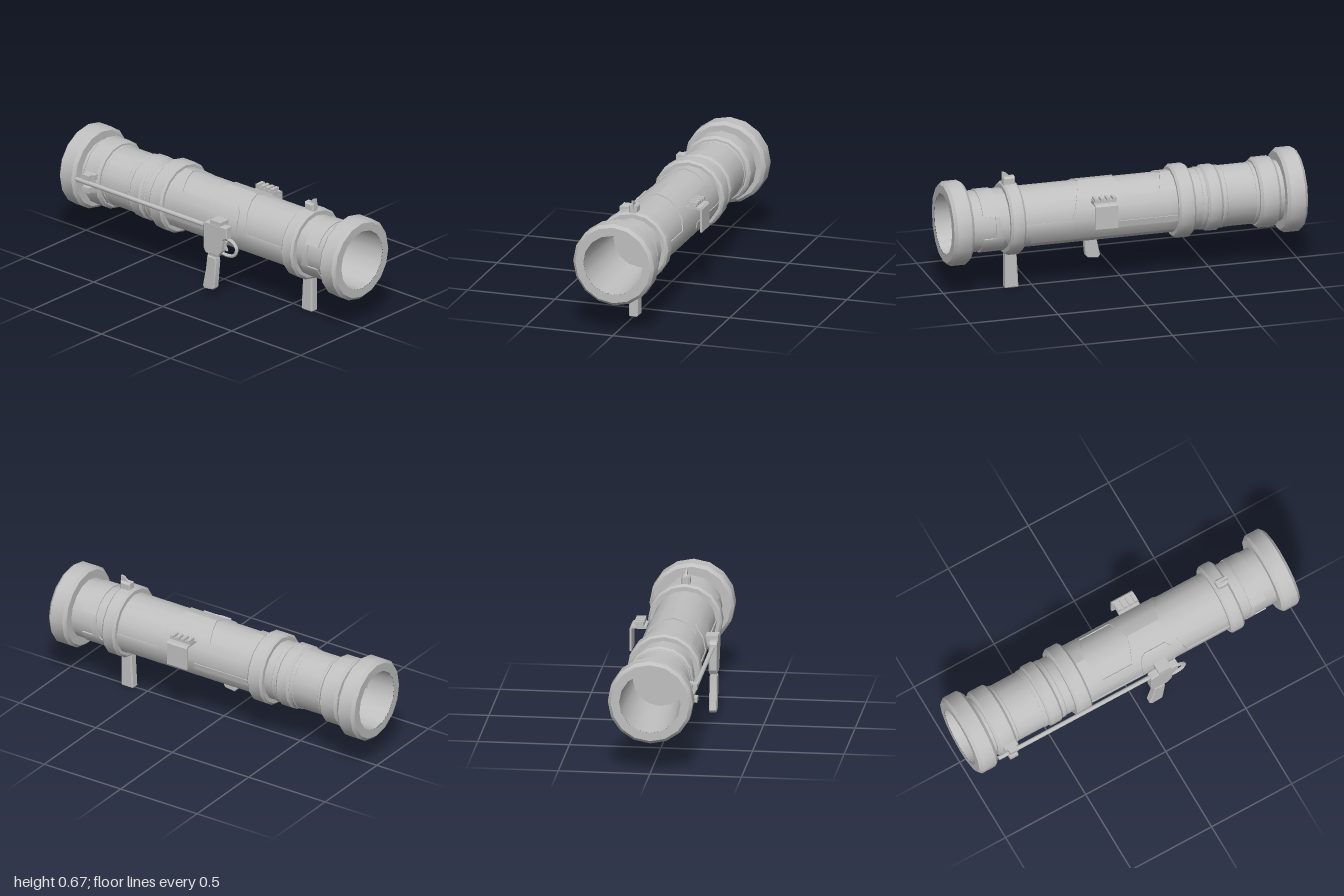
import * as THREE from 'three';
import { toCreasedNormals } from 'three/addons/utils/BufferGeometryUtils.js';

const CY = 0.4;                 // height of the tube axis
const SIDES = 16;
const STEP = 360 / SIDES;
const { degToRad, lerp, clamp, euclideanModulo } = THREE.MathUtils;

export function createModel() {
  const model = new THREE.Group();
  model.name = 'launcherTube';
  const grey = new THREE.MeshStandardMaterial({ color: 0xc0c0c0 });
  grey.name = 'metalGrey';

  function add(name, geo, crease = 0.5) {
    const mesh = new THREE.Mesh(toCreasedNormals(geo, crease), grey);
    mesh.name = name;
    model.add(mesh);
  }

  // Turned part along x; profile is [x, radius] with x running left to right
  function turned(name, profile) {
    const geo = new THREE.LatheGeometry(profile.map(([x, r]) => new THREE.Vector2(r, x)), SIDES);
    geo.rotateZ(-Math.PI / 2).translate(0, CY, 0);
    add(name, geo);
  }

  function ring(name, x0, x1, r, c = 0.012, inner = 0.164) {
    turned(name, [[x0, inner], [x0, r - c], [x0 + c, r], [x1 - c, r], [x1, r - c], [x1, inner]]);
  }

  // Raised plate wrapped on the faceted tube; corners are [x, startAngle, endAngle],
  // with angles in degrees from the top towards the front
  function wrapped(name, corners, r, base = 0.164) {
    // Slanted edges get extra stations so that they follow the facets
    const stations = [corners[0]];
    for (let i = 1; i < corners.length; i++) {
      const p = corners[i - 1], q = corners[i];
      const m = p[1] === q[1] && p[2] === q[2] ? 1 : 12;
      for (let k = 1; k <= m; k++) stations.push(p.map((v, j) => lerp(v, q[j], k / m)));
    }
    // Columns sit on the tube's own facet edges
    const columns = [-1000];
    for (let a = -360; a <= 360; a += STEP) columns.push(a);
    columns.push(1000);
    const n = columns.length - 1, loop = 2 * (n + 1), pos = [], idx = [];
    const point = (x, a, radius) => {
      const t = degToRad(euclideanModulo(a, STEP) - STEP / 2);
      const q = radius * Math.cos(degToRad(STEP / 2)) / Math.cos(t);
      pos.push(x, CY + q * Math.cos(degToRad(a)), q * Math.sin(degToRad(a)));
    };
    for (const [x, a0, a1] of stations) {
      const angles = columns.map((c) => clamp(c, a0, a1));
      for (const a of angles) point(x, a, r);
      for (const a of angles.reverse()) point(x, a, base);
    }
    for (let s = 0; s < stations.length - 1; s++) {
      for (let k = 0; k < loop; k++) {
        const a = s * loop + k, b = s * loop + (k + 1) % loop;
        idx.push(a, b, a + loop, a + loop, b, b + loop);
      }
    }
    const last = (stations.length - 1) * loop;
    for (let k = 0; k < n; k++) {
      const o = k, p = k + 1, i = loop - 1 - k, j = loop - 2 - k;
      idx.push(o, i, p, p, i, j);
      idx.push(last + o, last + p, last + i, last + p, last + j, last + i);
    }
    // Drop the collapsed triangles
    const key = (i) => pos.slice(i * 3, i * 3 + 3).map((v) => v.toFixed(5)).join();
    const kept = [];
    for (let i = 0; i < idx.length; i += 3) {
      const tri = idx.slice(i, i + 3);
      if (new Set(tri.map(key)).size === 3) kept.push(...tri);
    }
    const geo = new THREE.BufferGeometry();
    geo.setAttribute('position', new THREE.Float32BufferAttribute(pos, 3));
    geo.setIndex(kept);
    add(name, geo);
  }

  // Same plate on the front and the back of the tube
  function wrappedPair(name, corners, r) {
    wrapped(name, corners, r);
    wrapped(name, corners.map(([x, a0, a1]) => [x, -a1, -a0]), r);
  }

  // Flat outline in x/y given thickness along z, with small bevels
  function plate(name, pts, z0, z1, bevel = 0.005) {
    const shape = new THREE.Shape(pts.map(([x, y]) => new THREE.Vector2(x, y)));
    const geo = new THREE.ExtrudeGeometry(shape, {
      depth: z1 - z0 - 2 * bevel, bevelEnabled: bevel > 0, bevelSize: bevel,
      bevelThickness: bevel, bevelOffset: -bevel, bevelSegments: 1,
    });
    geo.translate(0, 0, z0 + bevel);
    add(name, geo, 0.4);
  }

  function box(name, x0, x1, y0, y1, z0, z1) {
    const geo = new THREE.BoxGeometry(x1 - x0, y1 - y0, z1 - z0);
    geo.translate((x0 + x1) / 2, (y0 + y1) / 2, (z0 + z1) / 2);
    add(name, geo);
  }

  // Main tube with a tapering, closed bore at each end
  turned('mainTube', [
    [-0.55, 0], [-0.55, 0.148], [-0.999, 0.168], [0.999, 0.168], [0.55, 0.148], [0.55, 0],
  ]);

  // End collars and bands
  ring('rearCollar', -1, -0.885, 0.232, 0.017, 0.168);
  ring('muzzleCollar', 0.885, 1, 0.232, 0.017, 0.168);
  ring('rearBand', -0.86, -0.745, 0.194, 0.014);
  ring('narrowBand', -0.537, -0.452, 0.181, 0.012);
  ring('middleBand', -0.376, -0.28, 0.202);
  ring('frontBand', 0.585, 0.67, 0.203);
  ring('rearStep', -0.745, -0.725, 0.172, 0.003);
  ring('narrowStepRear', -0.563, -0.537, 0.172, 0.003);
  ring('narrowStepFront', -0.452, -0.425, 0.172, 0.003);

  // Body cladding, cut away over the top and along the bottom
  wrappedPair('bodyCladding', [
    [-0.28, 0, 133], [-0.225, 0, 133], [-0.18, 51, 133], [0, 51, 133], [0.046, 0, 133],
    [0.24, 0, 133], [0.32, 88, 133], [0.54, 88, 133], [0.585, 88, 142],
  ], 0.174);
  wrappedPair('sideRail', [[-0.28, 97, 109], [0.08, 97, 109]], 0.179);

  // Notched sleeve behind the muzzle collar
  wrapped('sleeveTop', [[0.73, -66, 66], [0.82, -66, 66]], 0.174);
  wrappedPair('sleeveSide', [[0.705, 108, 109], [0.73, 66, 109], [0.75, 66, 109]], 0.174);
  wrapped('sleeveBottom', [[0.68, 122, 238], [0.705, 109, 251], [0.82, 109, 251]], 0.174);

  // Sight on the front band
  plate('sightBase', [[0.6, 0.59], [0.665, 0.59], [0.665, 0.638], [0.6, 0.638]], -0.024, 0.024, 0.008);
  plate('sightBlade', [[0.61, 0.62], [0.67, 0.62], [0.67, 0.667], [0.65, 0.662], [0.625, 0.64]],
    -0.005, 0.005, 0);

  // Front grip under the band
  plate('frontGrip', [[0.592, 0.22], [0.58, 0.005], [0.585, 0], [0.653, 0], [0.657, 0.005], [0.657, 0.22]],
    -0.026, 0.026, 0.007);

  // Firing rod and its bracket
  const rod = new THREE.CylinderGeometry(0.013, 0.013, 0.96, 8);
  rod.rotateZ(Math.PI / 2).translate(-0.4, 0.405, 0.212);
  add('firingRod', rod, 0.9);
  for (const y of [0.358, 0.43]) {
    box('rodBracket', -0.835, -0.755, y, y + 0.03, 0.15, 0.21);
    box('rodBracketTip', -0.82, -0.77, y, y + 0.03, 0.205, 0.237);
  }

  // Trigger unit mount
  wrapped('triggerMount', [[0.045, 66, 100], [0.06, 48, 100], [0.085, 42, 100],
    [0.21, 42, 100], [0.235, 52, 100], [0.245, 66, 100]], 0.181);
  box('mountBridge', 0.11, 0.185, 0.4, 0.46, 0.14, 0.237);

  // Trigger unit, pistol grip and guard
  plate('triggerUnit', [[0.06, 0.28], [0.075, 0.255], [0.165, 0.255], [0.19, 0.29], [0.2, 0.36],
    [0.23, 0.375], [0.23, 0.44], [0.075, 0.44], [0.06, 0.425]], 0.192, 0.238);
  plate('gripNeck', [[0.09, 0.23], [0.14, 0.23], [0.145, 0.27], [0.09, 0.27]], 0.2, 0.23, 0);
  plate('pistolGrip', [[0.085, 0.242], [0.145, 0.242], [0.15, 0.215], [0.135, 0.06], [0.125, 0.048],
    [0.065, 0.04], [0.053, 0.056], [0.075, 0.16]], 0.194, 0.236);
  const guardPath = new THREE.CatmullRomCurve3(
    [[0.2, 0.365], [0.25, 0.358], [0.28, 0.325], [0.265, 0.285], [0.22, 0.27], [0.155, 0.275]]
      .map(([x, y]) => new THREE.Vector3(x, y, 0.212)));
  add('triggerGuard', new THREE.TubeGeometry(guardPath, 18, 0.01, 6), 0.9);
  plate('trigger', [[0.18, 0.35], [0.215, 0.35], [0.205, 0.32], [0.215, 0.295], [0.19, 0.31]],
    0.206, 0.218, 0);

  // Sight bracket on the back: bent plate with a toothed rail on top
  const bend = new THREE.Shape([[0.15, 0.495], [0.226, 0.495], [0.231, 0.49], [0.231, 0.367],
    [0.242, 0.367], [0.242, 0.495], [0.233, 0.506], [0.15, 0.506]].map((p) => new THREE.Vector2(...p)));
  const bracket = new THREE.ExtrudeGeometry(bend, { depth: 0.13, bevelEnabled: false });
  bracket.rotateY(Math.PI / 2).translate(0.08, 0, 0);
  add('sightBracket', bracket);
  box('accessoryRail', 0.08, 0.21, 0.5, 0.519, -0.208, -0.165);
  for (let i = 0; i < 4; i++) {
    const x = 0.083 + i * 0.0345;
    box('railTooth', x, x + 0.02, 0.517, 0.533, -0.217, -0.165);
  }

  return model;
}
